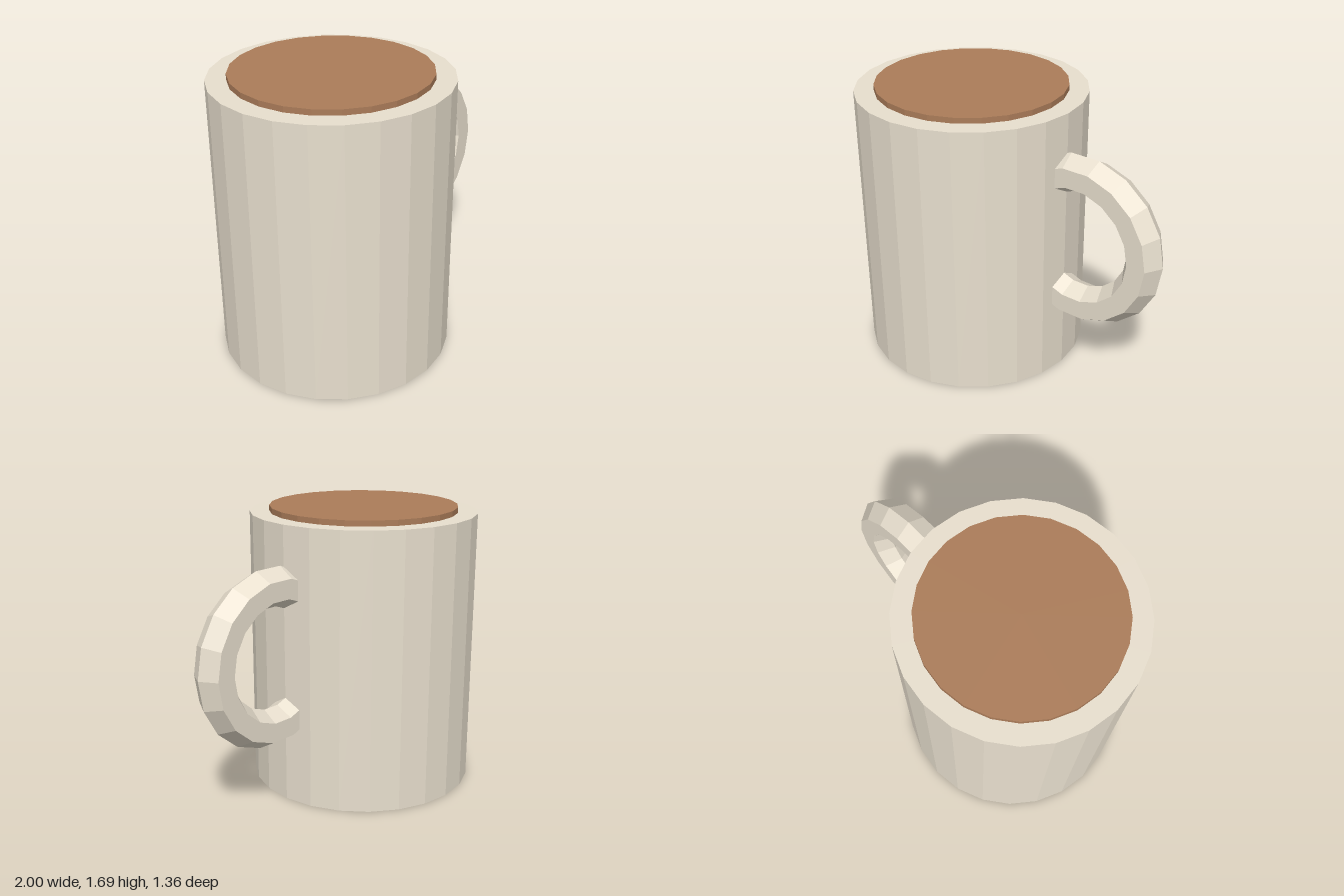
import * as THREE from 'three';

export function createModel() {
  const group = new THREE.Group();
  const cream = new THREE.MeshStandardMaterial({ color: 0xe8dfce, flatShading: true });
  const brown = new THREE.MeshStandardMaterial({ color: 0xab7c59, flatShading: true });
  const cupX = -0.322;

  const add = (name, geometry, material, x, y) => {
    const mesh = new THREE.Mesh(geometry, material);
    mesh.name = name;
    mesh.position.set(x, y, 0);
    group.add(mesh);
  };

  // Solid 24-sided cup body
  const height = 1.655;
  add('cupBody', new THREE.CylinderGeometry(0.678, 0.678, height, 24), cream, cupX, height / 2);

  // Drink: a thin disc rising just above the rim
  add('drink', new THREE.CylinderGeometry(0.562, 0.562, 0.07, 24), brown, cupX, 1.653);

  // Hexagonal-section ring handle, 20 degrees per segment, ends sunk into the body
  const arc = THREE.MathUtils.degToRad(240);
  const handle = new THREE.TorusGeometry(0.412, 0.114, 6, 12, arc).rotateZ(-arc / 2);
  add('handle', handle, cream, 0.474, 0.912);

  return group;
}
